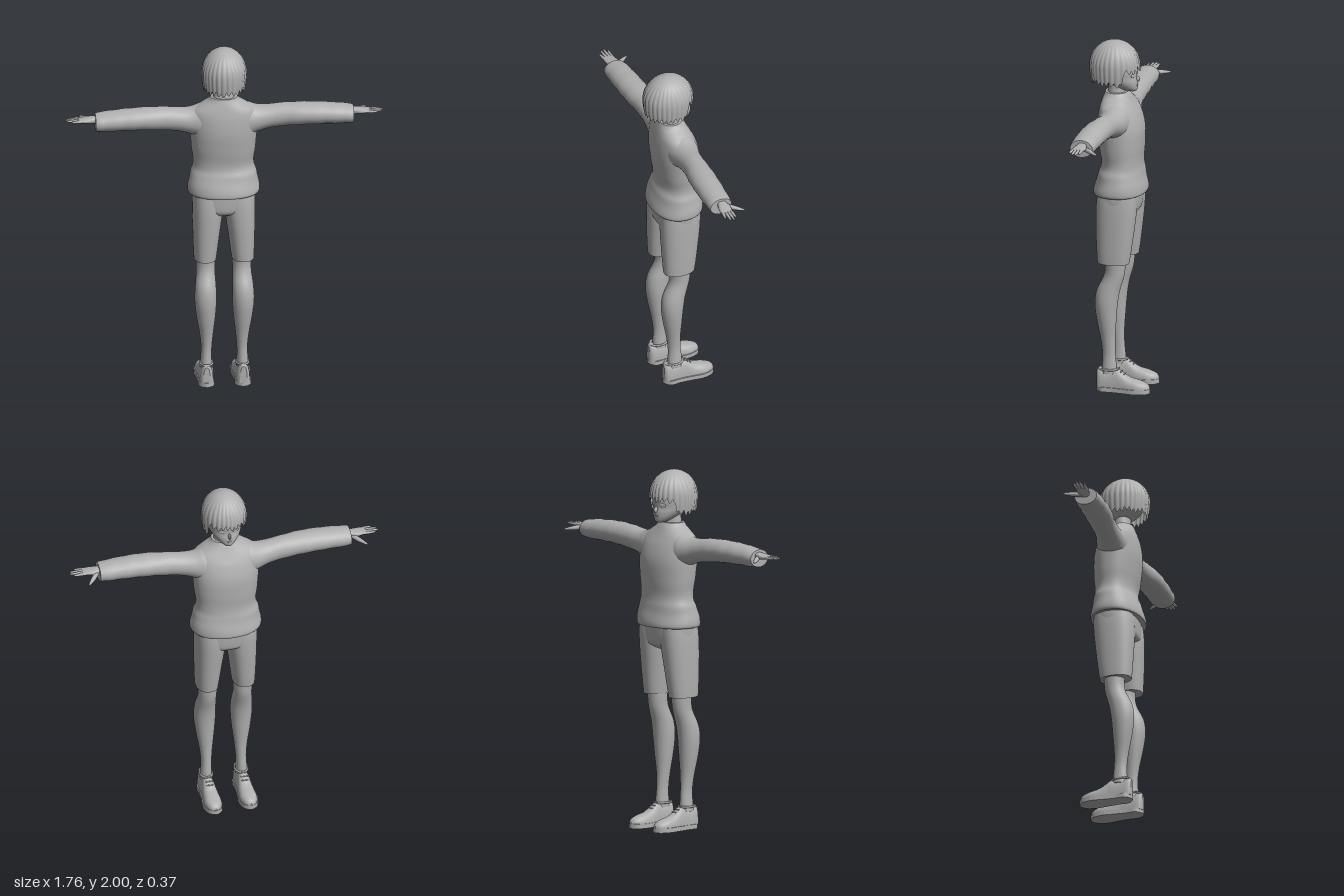
import * as THREE from 'three';

const cloth = new THREE.MeshStandardMaterial({ color: 0xb0b0b0, side: THREE.DoubleSide });
cloth.name = 'plain grey';

const mesh = (name, geometry) => {
  const m = new THREE.Mesh(geometry, cloth);
  m.name = name;
  return m;
};

// Smooth spline through rows of numbers, four steps between rows
function smoothRows(rows, steps = 4) {
  const out = [];
  for (let i = 0; i < rows.length - 1; i++) {
    const [a, b, c, d] = [-1, 0, 1, 2].map(k => rows[Math.min(Math.max(i + k, 0), rows.length - 1)]);
    for (let s = 0; s < steps; s++) {
      const t = s / steps;
      out.push(b.map((p, k) => p + 0.5 * t * (c[k] - a[k]
        + t * (2 * a[k] - 5 * p + 4 * c[k] - d[k] + t * (3 * (p - c[k]) + d[k] - a[k])))));
    }
  }
  out.push(rows[rows.length - 1]);
  return out;
}

// Closed skin along an axis; each row is [position, min u, max u, min v, max v]
function loft(axis, rows, { power = 2, floor = -Infinity, fold = null, sides = 40 } = {}) {
  const rings = smoothRows(rows), pos = [], idx = [];
  const flip = (axis === 'y') !== (rows[rows.length - 1][0] < rows[0][0]);
  const tri = (a, b, c) => idx.push(...(flip ? [a, c, b] : [a, b, c]));
  const point = (w, u, v) => {
    if (axis === 'y') pos.push(u, w, v);
    else if (axis === 'x') pos.push(w, u, v);
    else pos.push(u, Math.max(v, floor), w);
  };
  const round = s => Math.sign(s) * Math.pow(Math.abs(s), 2 / power);
  const ring = ([w, u0, u1, v0, v1]) => {
    for (let j = 0; j < sides; j++) {
      const a = j / sides * Math.PI * 2, k = fold ? 1 + fold(w, a) : 1;
      point(w, (u0 + u1) / 2 + (u1 - u0) / 2 * k * round(Math.cos(a)),
        (v0 + v1) / 2 + (v1 - v0) / 2 * k * round(Math.sin(a)));
    }
  };
  rings.forEach(ring);
  for (let i = 0; i < rings.length - 1; i++) for (let j = 0; j < sides; j++) {
    const a = i * sides + j, b = i * sides + (j + 1) % sides;
    tri(a, b, b + sides);
    tri(a, b + sides, a + sides);
  }
  // End caps with their own corners, so the rims stay sharp
  [rings[0], rings[rings.length - 1]].forEach((r, end) => {
    const base = pos.length / 3;
    ring(r);
    point(r[0], (r[1] + r[2]) / 2, (r[3] + r[4]) / 2);
    for (let j = 0; j < sides; j++) {
      const a = base + j, b = base + (j + 1) % sides;
      if (end) tri(base + sides, a, b); else tri(base + sides, b, a);
    }
  });
  const g = new THREE.BufferGeometry();
  g.setAttribute('position', new THREE.Float32BufferAttribute(pos, 3));
  g.setIndex(idx);
  g.computeVertexNormals();
  return g;
}

// Tapered rod with a round tip
function finger(name, from, to, r0, r1) {
  const a = new THREE.Vector3(...from), b = new THREE.Vector3(...to), len = a.distanceTo(b);
  const profile = [[r0, 0], [r0 * 1.02, len * 0.45], [r1, len * 0.88], [r1 * 0.6, len * 0.97], [0, len]];
  const m = mesh(name, new THREE.LatheGeometry(profile.map(p => new THREE.Vector2(...p)), 12));
  m.position.copy(a);
  m.quaternion.setFromUnitVectors(new THREE.Vector3(0, 1, 0), b.sub(a).normalize());
  return m;
}

// Bobbed hair: a dome of lobed strands, cut short over the face (which looks to -z)
function hairGeometry() {
  const N = 224, M = 28, pos = [], idx = [];
  for (let i = 0; i <= M; i++) for (let j = 0; j < N; j++) {
    const a = j / N * Math.PI * 2, v = i / M;
    const front = Math.min(a, Math.PI * 2 - a);
    const lobe = Math.abs(Math.sin(a * 14 + 0.6 * Math.sin(a * 3)));
    const cut = THREE.MathUtils.smoothstep(front, 0.98, 1.08);
    const bottom = THREE.MathUtils.lerp(1.855, 1.785, cut) - 0.025 * lobe + 0.006 * Math.sin(a * 9);
    const y = 2 - (2 - bottom) * (1 - Math.cos(v * Math.PI / 2));
    const h = (y - 1.86) / 0.14;
    const k = h > 0 ? Math.sqrt(Math.max(0, 1 - h * h)) : 1 - 0.16 * h * h;
    const r = k * (0.965 + 0.04 * lobe * Math.min(1, v * 1.5));
    pos.push(Math.sin(a) * 0.126 * r, y, 0.042 - Math.cos(a) * 0.143 * r);
    if (i < M) {
      const p = i * N + j, q = i * N + (j + 1) % N;
      idx.push(p, q, q + N, p, q + N, p + N);
    }
  }
  const g = new THREE.BufferGeometry();
  g.setAttribute('position', new THREE.Float32BufferAttribute(pos, 3));
  g.setIndex(idx);
  g.computeVertexNormals();
  return g;
}

function createHand() {
  const hand = new THREE.Group();
  hand.name = 'hand';
  hand.add(mesh('palm', loft('x', [[0.68, 1.577, 1.622, 0.012, 0.066], [0.72, 1.58, 1.62, 0.012, 0.066],
    [0.75, 1.584, 1.616, 0.005, 0.074], [0.78, 1.588, 1.612, 0.009, 0.078], [0.806, 1.593, 1.608, 0.014, 0.074]],
  { power: 2.4, sides: 24 })));
  const tips = [[0.862, 0.018], [0.882, 0.036], [0.876, 0.055], [0.848, 0.075]];
  tips.forEach(([x, z], i) => hand.add(finger('finger', [0.79, 1.6, 0.02 + i * 0.0158], [x, 1.6, z], 0.0085, 0.006)));
  hand.add(finger('thumb', [0.728, 1.592, 0.022], [0.795, 1.58, -0.066], 0.013, 0.007));
  return hand;
}

function createShoe() {
  const shoe = new THREE.Group();
  shoe.name = 'shoe';
  const outline = [[0.1, -0.186], [0.138, -0.165], [0.156, -0.11], [0.15, -0.04], [0.144, 0.03], [0.143, 0.09],
    [0.102, 0.12], [0.06, 0.09], [0.058, 0.03], [0.052, -0.04], [0.047, -0.11], [0.064, -0.165]];
  const curve = new THREE.CatmullRomCurve3(outline.map(([x, z]) => new THREE.Vector3(x, z, 0)), true);
  const shape = new THREE.Shape(curve.getPoints(48).slice(0, -1).map(p => new THREE.Vector2(p.x, p.y)));
  const sole = new THREE.ExtrudeGeometry(shape, { depth: 0.026, bevelEnabled: false });
  shoe.add(mesh('sole', sole.rotateX(Math.PI / 2).translate(0, 0.026, 0)));
  // Half-round upper: the lower half of each section is flattened onto the sole
  const rows = [[-0.182, 0.088, 0.113, 0.036], [-0.165, 0.068, 0.134, 0.054], [-0.12, 0.052, 0.15, 0.07],
    [-0.07, 0.053, 0.148, 0.083], [-0.03, 0.058, 0.143, 0.108], [0, 0.062, 0.14, 0.128], [0.05, 0.062, 0.139, 0.118],
    [0.1, 0.066, 0.137, 0.13], [0.116, 0.082, 0.122, 0.118]];
  shoe.add(mesh('upper', loft('z', rows.map(([z, x0, x1, top]) => [z, x0, x1, 0.04 - top, top]), { power: 2.5, floor: 0.02 })));
  const collar = mesh('collar', new THREE.TorusGeometry(0.042, 0.006, 8, 32).rotateX(Math.PI / 2).scale(0.85, 1, 1.22));
  collar.position.set(0.1, 0.125, 0.052);
  shoe.add(collar);
  for (let i = 0; i < 3; i++) {
    const lace = mesh('lace', new THREE.CapsuleGeometry(0.0035, 0.04 - i * 0.004, 4, 8).rotateZ(Math.PI / 2));
    lace.position.set(0.1, 0.127 - i * 0.013, -0.005 - i * 0.018);
    shoe.add(lace);
  }
  return shoe;
}

// Everything on the +x side: sleeve, hand, shorts leg, leg and shoe
function createSide(name) {
  const side = new THREE.Group();
  side.name = name;
  const wrinkle = (x, a) => 0.018 * Math.sin(x * 62 + 2 * Math.sin(a)) * THREE.MathUtils.smoothstep(x, 0.22, 0.4);
  side.add(mesh('sleeve', loft('x', [[0.06, 1.47, 1.675, -0.07, 0.105], [0.13, 1.465, 1.662, -0.075, 0.1],
    [0.18, 1.488, 1.645, -0.065, 0.092], [0.24, 1.508, 1.643, -0.05, 0.088], [0.32, 1.52, 1.652, -0.042, 0.09],
    [0.44, 1.53, 1.656, -0.04, 0.108], [0.56, 1.533, 1.652, -0.034, 0.113], [0.67, 1.533, 1.642, -0.027, 0.112],
    [0.7, 1.534, 1.638, -0.024, 0.109], [0.716, 1.537, 1.634, -0.022, 0.106]], { fold: wrinkle })));
  side.add(createHand());
  side.add(mesh('shortsLeg', loft('y', [[0.742, 0.043, 0.166, -0.066, 0.112], [0.8, 0.035, 0.169, -0.075, 0.116],
    [0.9, 0.022, 0.172, -0.088, 0.121], [1, 0.008, 0.174, -0.1, 0.124], [1.08, 0, 0.174, -0.106, 0.122],
    [1.14, 0.005, 0.17, -0.105, 0.115]], { power: 2.3 })));
  side.add(mesh('leg', loft('y', [[0.1, 0.067, 0.136, 0.005, 0.09], [0.16, 0.07, 0.131, 0.008, 0.087],
    [0.22, 0.069, 0.129, 0.013, 0.086], [0.3, 0.062, 0.137, 0.014, 0.096], [0.4, 0.051, 0.154, 0.008, 0.115],
    [0.5, 0.044, 0.165, 0, 0.127], [0.58, 0.045, 0.162, -0.013, 0.117], [0.66, 0.049, 0.153, -0.036, 0.08],
    [0.72, 0.047, 0.153, -0.044, 0.07], [0.8, 0.045, 0.155, -0.05, 0.08]])));
  side.add(createShoe());
  return side;
}

function createHead() {
  const head = new THREE.Group();
  head.name = 'head';
  head.add(mesh('neck', loft('y', [[1.64, -0.075, 0.075, -0.03, 0.1], [1.7, -0.062, 0.062, -0.022, 0.083],
    [1.75, -0.058, 0.058, -0.02, 0.075], [1.8, -0.058, 0.058, -0.02, 0.08]])));
  head.add(mesh('face', loft('y', [[1.713, -0.012, 0.012, -0.073, -0.045], [1.72, -0.03, 0.03, -0.083, -0.01],
    [1.74, -0.055, 0.055, -0.088, 0.04], [1.77, -0.08, 0.08, -0.088, 0.1], [1.8, -0.094, 0.094, -0.082, 0.135],
    [1.85, -0.1, 0.1, -0.084, 0.15], [1.92, -0.085, 0.085, -0.06, 0.13], [1.96, -0.05, 0.05, -0.02, 0.09]])));
  const nose = mesh('nose', new THREE.SphereGeometry(1, 16, 12).scale(0.008, 0.017, 0.017));
  nose.position.set(0, 1.785, -0.086);
  const mouth = mesh('mouth', new THREE.SphereGeometry(1, 16, 8).scale(0.016, 0.004, 0.005));
  mouth.position.set(0, 1.752, -0.086);
  head.add(nose, mouth);
  for (const s of [-1, 1]) {
    const eye = mesh('eye', new THREE.SphereGeometry(1, 20, 12).scale(0.019, 0.011, 0.004));
    eye.position.set(s * 0.04, 1.812, -0.073);
    eye.rotation.y = s * -0.4;
    head.add(eye);
  }
  head.add(mesh('hair', hairGeometry()));
  return head;
}

export function createModel() {
  const figure = new THREE.Group();
  figure.name = 'figure';
  const slouch = (y, a) => 0.01 * Math.sin(y * 55 + Math.sin(2 * a)) * THREE.MathUtils.smoothstep(1.45 - y, 0, 0.15);
  figure.add(mesh('sweater', loft('y', [[1.135, -0.193, 0.193, -0.137, 0.15], [1.15, -0.199, 0.199, -0.14, 0.152],
    [1.2, -0.194, 0.194, -0.132, 0.14], [1.25, -0.185, 0.185, -0.124, 0.125], [1.3, -0.168, 0.168, -0.116, 0.108],
    [1.4, -0.178, 0.178, -0.121, 0.12], [1.5, -0.186, 0.186, -0.121, 0.13], [1.58, -0.188, 0.188, -0.1, 0.126],
    [1.63, -0.178, 0.178, -0.076, 0.117], [1.665, -0.13, 0.13, -0.058, 0.108], [1.69, -0.09, 0.09, -0.046, 0.1],
    [1.71, -0.074, 0.074, -0.034, 0.093]], { power: 2.2, fold: slouch, sides: 64 })));
  figure.add(mesh('shortsSeat', loft('y', [[1.005, -0.05, 0.05, -0.05, 0.07], [1.03, -0.13, 0.13, -0.095, 0.112],
    [1.07, -0.17, 0.17, -0.108, 0.122], [1.16, -0.174, 0.174, -0.115, 0.122]], { power: 2.4 })));
  figure.add(createHead());
  const left = createSide('leftSide'), right = createSide('rightSide');
  right.scale.x = -1;
  figure.add(left, right);
  return figure;
}
